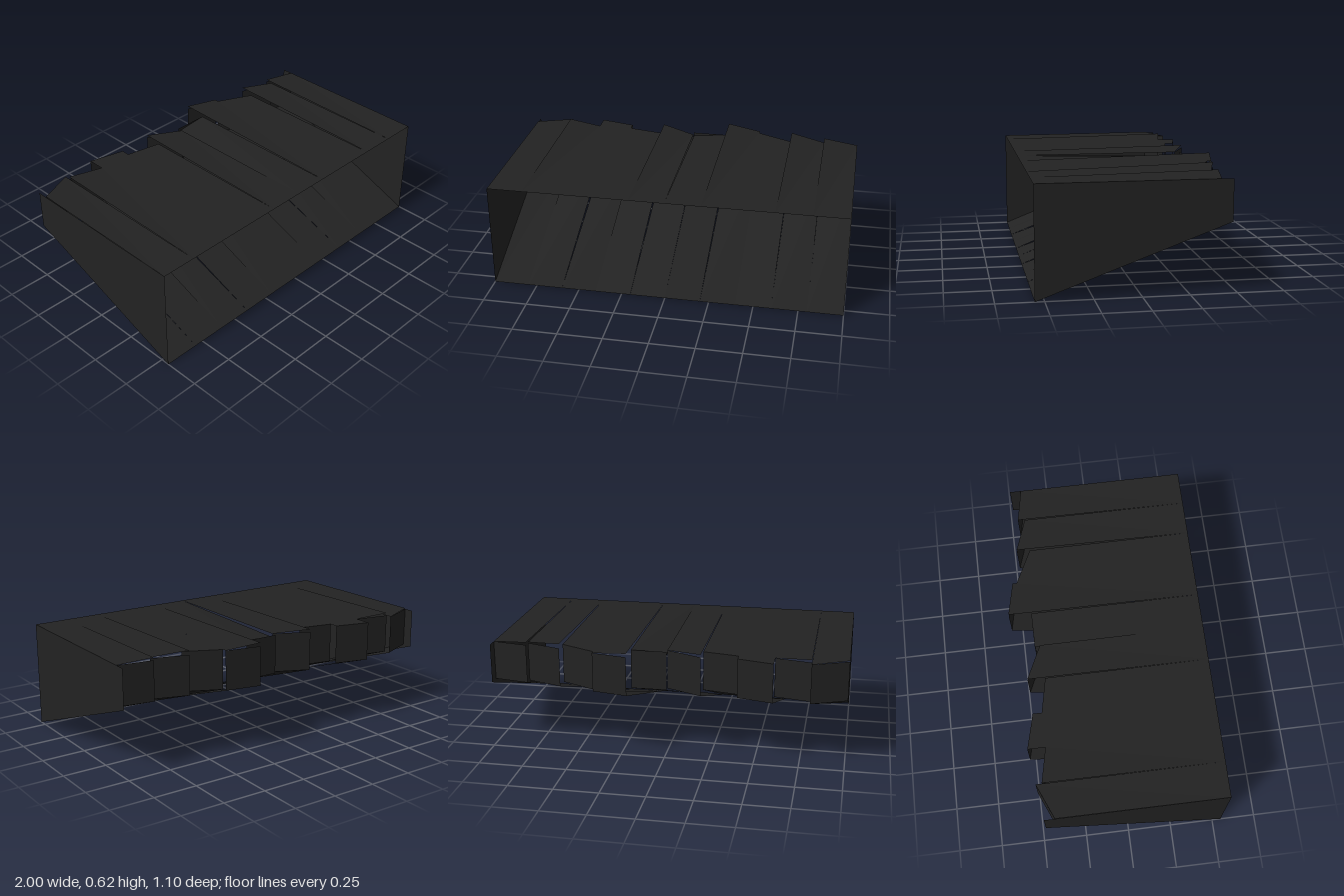
import * as THREE from 'three';

const FRONT = 0.55;   // z of the open front
const TOP = 0.6;      // height of the roof at the front
const LIP = 0.376;    // height where the floor meets the back
const WALL_BACK = -0.47;

// Each plank: back edge z (left, right in x order), roof height at those corners
const PLANKS = [
  [-0.41, -0.495, 0.605, 0.6],
  [-0.46, -0.42, 0.615, 0.6],
  [-0.52, -0.47, 0.6, 0.6],
  [-0.42, -0.38, 0.6, 0.6],
  [-0.48, -0.39, 0.615, 0.6],
  [-0.42, -0.42, 0.58, 0.6],
  [-0.55, -0.51, 0.62, 0.6],
  [-0.485, -0.39, 0.6, 0.6],
  [-0.465, -0.4, 0.625, 0.605],
  [-0.44, -0.405, 0.615, 0.6],
];

export function createModel() {
  const model = new THREE.Group();
  model.name = 'plankTrough';
  const material = new THREE.MeshStandardMaterial({
    color: 0x222222, side: THREE.DoubleSide, flatShading: true,
  });

  // Thin four-cornered sheet, corners counter-clockwise from outside
  function sheet(name, parent, corners) {
    const geometry = new THREE.BufferGeometry();
    geometry.setAttribute('position', new THREE.Float32BufferAttribute(corners.flat(), 3));
    geometry.setIndex([0, 1, 2, 0, 2, 3]);
    const flat = geometry.toNonIndexed();
    flat.computeVertexNormals();
    const mesh = new THREE.Mesh(flat, material);
    mesh.name = name;
    parent.add(mesh);
  }

  // Planks: roof, back and sloping floor share an uneven back edge
  const width = 2 / PLANKS.length;
  PLANKS.forEach(([zl, zr, yl, yr], i) => {
    const plank = new THREE.Group();
    plank.name = `plank${i + 1}`;
    const l = -1 + i * width;
    const r = l + width;
    sheet('roofPanel', plank, [[l, TOP, FRONT], [r, TOP, FRONT], [r, yr, zr], [l, yl, zl]]);
    sheet('backPanel', plank, [[r, LIP, zr], [l, LIP, zl], [l, TOP, zl], [r, TOP, zr]]);
    sheet('floorPanel', plank, [[l, 0, FRONT], [l, LIP, zl], [r, LIP, zr], [r, 0, FRONT]]);
    model.add(plank);
  });

  // Side walls, tapering towards the back
  for (const x of [-1, 1]) {
    const corners = [[x, 0, FRONT], [x, LIP, WALL_BACK], [x, TOP, WALL_BACK], [x, TOP, FRONT]];
    sheet(x > 0 ? 'leftWall' : 'rightWall', model, x > 0 ? corners : corners.reverse());
  }
  return model;
}
